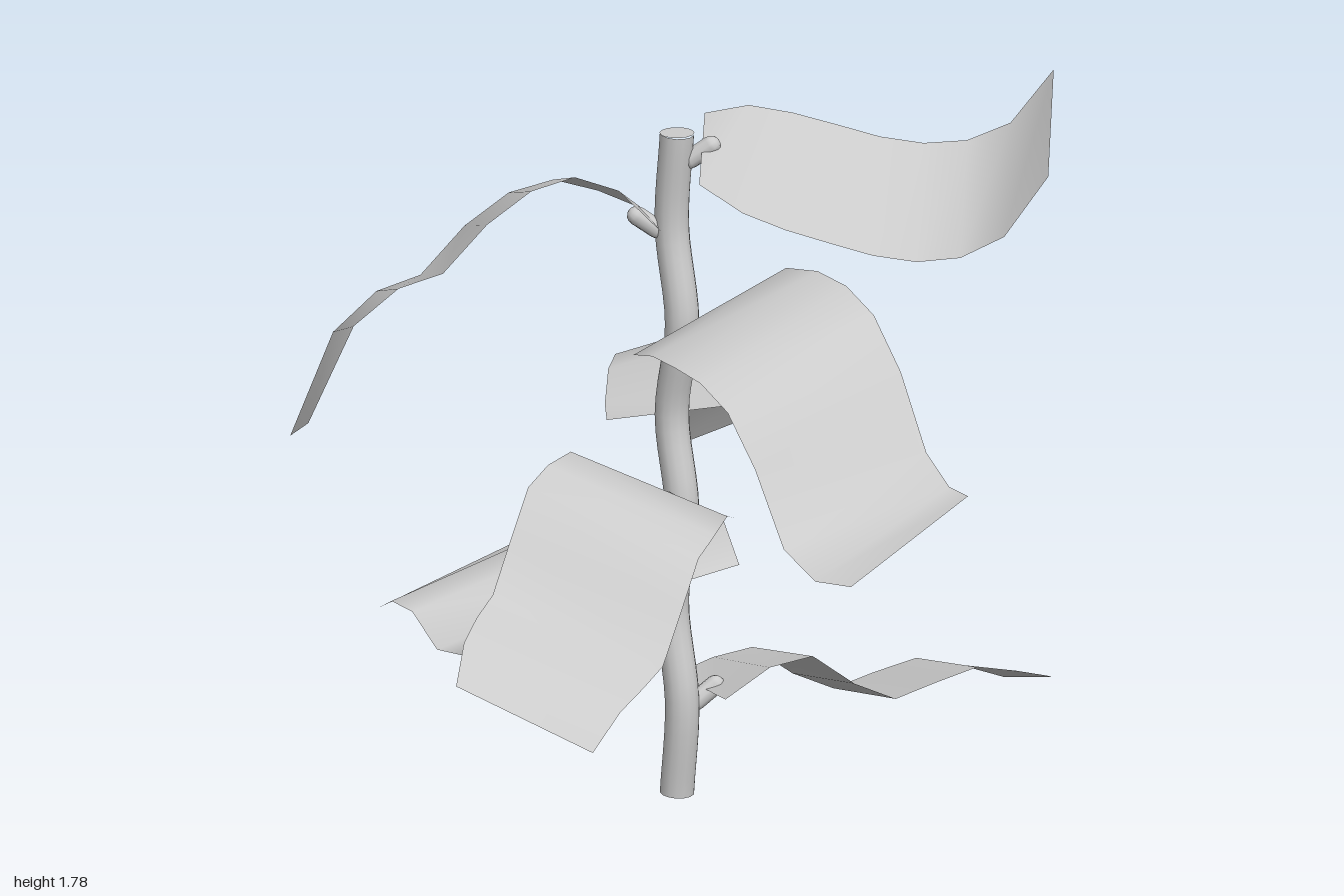
import * as THREE from 'three';

const grey = new THREE.MeshStandardMaterial({ color: 0xcccccc });
const leafGrey = new THREE.MeshStandardMaterial({ color: 0xcccccc, side: THREE.DoubleSide });

const STEM_X = 0.067;
const STEM_R = 0.042;
const STEM_H = 1.67;
const BENDS = 7;
const LEAF_START = 0.06;

// Stem axis: evenly spaced bends swaying to alternate sides
const stemCurve = new THREE.CatmullRomCurve3(
  Array.from({ length: BENDS + 1 }, (_, i) => {
    const sway = i === 0 || i === BENDS ? 0 : i % 2 ? 0.021 : -0.021;
    return new THREE.Vector3(STEM_X + sway, (STEM_H * i) / BENDS, 0);
  }));

// Each leaf: compass angle in degrees (0 = +x, 90 = +z), reach from the stem,
// width, rise of its right edge over its left, and evenly spaced midline heights
const LEAVES = [
  { angle: -74, reach: 0.9, width: 0.44, tilt: 0.11, wave: [0.26, 0.31, 0.325, 0.245, 0.195, 0.225, 0.25, 0.225, 0.19] },
  { angle: 184.6, reach: 1.045, width: 0.53, tilt: 0.11, wave: [0.5, 0.545, 0.52, 0.39, 0.29, 0.27, 0.33, 0.32, 0.26] },
  { angle: 60, reach: 0.9, width: 0.45, tilt: 0.12, wave: [0.76, 0.83, 0.82, 0.795, 0.69, 0.585, 0.56, 0.53, 0.455] },
  { angle: 227, reach: 0.965, width: 0.46, tilt: 0.17, wave: [0.945, 0.99, 1.05, 1.05, 0.965, 0.91, 0.9, 0.835, 0.64] },
  { angle: -1, reach: 0.93, width: 0.44, tilt: -0.16, wave: [1.19, 1.26, 1.27, 1.26, 1.215, 1.1, 0.925, 0.87, 0.88] },
  { angle: 119, reach: 0.915, width: 0.45, tilt: -0.15, wave: [1.45, 1.53, 1.565, 1.535, 1.455, 1.335, 1.3, 1.205, 0.955] },
  { angle: -52, reach: 0.9, width: 0.46, tilt: -0.15, wave: [1.63, 1.605, 1.575, 1.545, 1.515, 1.5, 1.51, 1.56, 1.705] },
];

// Wavy strip along +x, slightly narrower at both ends and twisting into its tilt
function leafGeometry({ reach, width, tilt, wave }) {
  const steps = wave.length - 1;
  const geometry = new THREE.PlaneGeometry(1, 1, steps, 1).rotateX(-Math.PI / 2);
  const position = geometry.attributes.position;
  for (let i = 0; i < position.count; i++) {
    const t = position.getX(i) + 0.5;
    const side = Math.sign(position.getZ(i));
    const half = (width / 2) * (1 - 0.2 * Math.abs(2 * t - 1) ** 3);
    const lift = (tilt / 2) * Math.min(1, 0.4 + 4 * t);
    position.setXYZ(i,
      LEAF_START + t * (reach - LEAF_START),
      wave[Math.round(t * steps)] + lift * side,
      half * side);
  }
  geometry.computeVertexNormals();
  return geometry;
}

function mesh(name, geometry, material = grey) {
  const m = new THREE.Mesh(geometry, material);
  m.name = name;
  return m;
}

export function createModel() {
  const model = new THREE.Group();
  model.name = 'plant';

  // Stem with flat ends
  model.add(mesh('stem', new THREE.TubeGeometry(stemCurve, 42, STEM_R, 14)));
  for (const end of [0, 1]) {
    const cap = mesh('stemEnd', new THREE.CircleGeometry(STEM_R, 14));
    cap.position.copy(stemCurve.getPoint(end));
    cap.rotation.x = end ? -Math.PI / 2 : Math.PI / 2;
    model.add(cap);
  }

  for (const spec of LEAVES) {
    const turn = -THREE.MathUtils.degToRad(spec.angle);
    const leaf = mesh('leaf', leafGeometry(spec), leafGrey);
    leaf.position.x = STEM_X;
    leaf.rotation.y = turn;
    model.add(leaf);

    // Short bud leaning out and up from the stem under the leaf
    const budY = spec.wave[0] - 0.01;
    const budBase = new THREE.Group();
    budBase.name = 'budBase';
    budBase.position.set(stemCurve.getPoint(budY / STEM_H).x, budY, 0);
    budBase.rotation.y = turn;
    const bud = mesh('bud', new THREE.CapsuleGeometry(0.024, 0.06, 4, 10));
    bud.position.x = 0.06;
    bud.rotation.z = -0.95;
    budBase.add(bud);
    model.add(budBase);
  }
  return model;
}
